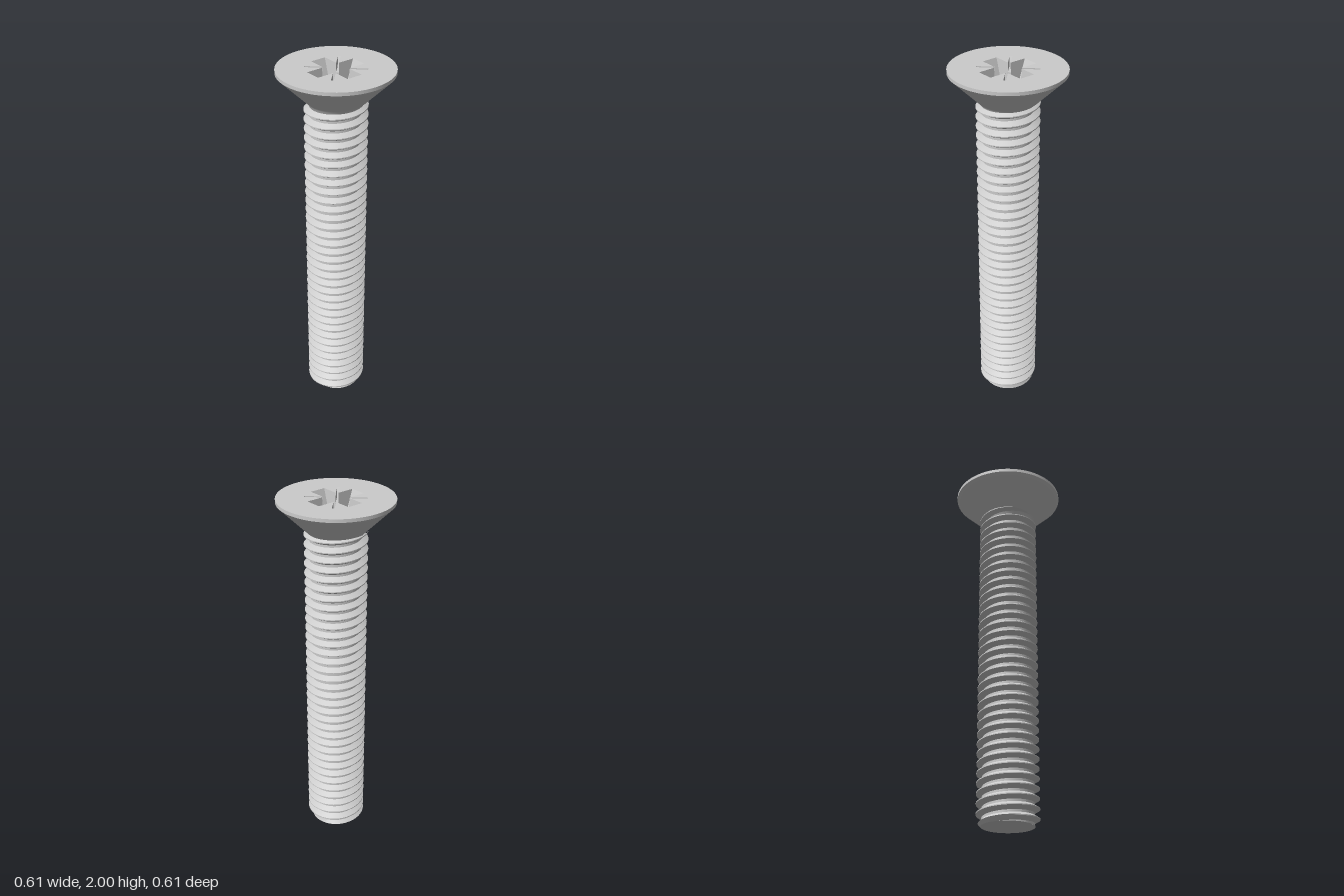
import * as THREE from 'three';
import { toCreasedNormals } from 'three/addons/utils/BufferGeometryUtils.js';

const TAU = Math.PI * 2;
const TOP = 2, FLOOR = 1.85, SHANK_TOP = 1.835;
const grey = new THREE.MeshStandardMaterial({ color: 0xcccccc });
const greyDouble = new THREE.MeshStandardMaterial({ color: 0xcccccc, side: THREE.DoubleSide });

function add(group, name, geometry, material = grey) {
  const mesh = new THREE.Mesh(geometry, material);
  mesh.name = name;
  group.add(mesh);
}

// Quarter-turn copy of a plan point
function turn([x, y], k) {
  for (let i = 0; i < k; i++) [x, y] = [-y, x];
  return [x, y];
}

// Point at a distance along the diagonal, offset sideways
function diagonal(s, w) {
  return [(s - w) * Math.SQRT1_2, (s + w) * Math.SQRT1_2];
}

// Thread: trapezoid profile carried round a helix, clipped at both ends
const PITCH = 0.0533, MINOR = 0.137, MAJOR = 0.166, PHASE = 0.78;
const CREST = 0.05, ROOT = 0.38; // half-widths as fractions of the pitch

function threadRadius(a, y) {
  const u = y / PITCH - a / TAU - PHASE;
  const d = Math.abs(u - Math.round(u));
  const t = THREE.MathUtils.clamp((ROOT - d) / (ROOT - CREST), 0, 1);
  return Math.min(MINOR + (MAJOR - MINOR) * t, 0.141 + y);
}

function threadGeometry(segments = 80) {
  const rows = [];
  for (let k = -3; k < SHANK_TOP / PITCH + 2; k++) {
    for (const f of [-ROOT, -CREST, CREST, ROOT]) rows.push(k + f + PHASE);
  }
  const pos = [], index = [], n = segments + 1;
  rows.forEach((v, j) => {
    for (let i = 0; i < n; i++) {
      const a = (i / segments) * TAU;
      const y = THREE.MathUtils.clamp((v + a / TAU) * PITCH, 0, SHANK_TOP);
      const r = threadRadius(a, y);
      pos.push(r * Math.sin(a), y, r * Math.cos(a));
      if (j === 0 || i === 0) continue;
      const d = j * n + i, c = d - 1, b = d - n, e = b - 1;
      const ys = [b, c, d, e].map((q) => pos[q * 3 + 1]);
      if (Math.max(...ys) - Math.min(...ys) > 1e-6) index.push(e, b, d, e, d, c);
    }
  });
  const g = new THREE.BufferGeometry();
  g.setAttribute('position', new THREE.Float32BufferAttribute(pos, 3));
  g.setIndex(index);
  return toCreasedNormals(g, 0.6);
}

// Flat end of the shank, following the thread outline
function tipGeometry(segments = 80) {
  const pts = [];
  for (let i = 0; i < segments; i++) {
    const a = (i / segments) * TAU, r = threadRadius(a, 0);
    pts.push(new THREE.Vector2(r * Math.sin(a), r * Math.cos(a)));
  }
  return new THREE.ShapeGeometry(new THREE.Shape(pts)).rotateX(Math.PI / 2);
}

// Plan of one quarter of the recess: arm end, inner corner, diagonal slit
const ARM = [[0.146, -0.044], [0.146, 0.044]];
const ARM_LOW = [[0.088, -0.035], [0.088, 0.035]];
const CORNER = [0.0535, 0.044], CORNER_LOW = [0.0487, 0.035];
const SLIT = [diagonal(0.16, -0.007), diagonal(0.16, 0.007)];
const SLIT_LOW = [diagonal(0.14, -0.007), diagonal(0.14, 0.007)];
const SLIT_DEPTH = 1 / 3; // fraction of the recess depth
const swap = ([x, y]) => [y, x];
const flip = ([x, y]) => [x, -y];

function headTopGeometry() {
  const shape = new THREE.Shape().absarc(0, 0, 0.305, 0, TAU);
  const outline = [];
  for (let k = 0; k < 4; k++) {
    for (const p of [...ARM, CORNER, ...SLIT, swap(CORNER)]) {
      outline.push(new THREE.Vector2(...turn(p, k)));
    }
  }
  shape.holes.push(new THREE.Path(outline));
  return new THREE.ShapeGeometry(shape, 48).rotateX(-Math.PI / 2).translate(0, TOP, 0);
}

function recessWallGeometry() {
  const pos = [];
  const slitY = TOP - (TOP - FLOOR) * SLIT_DEPTH;
  const mid = CORNER.map((v, i) => v + (CORNER_LOW[i] - v) * SLIT_DEPTH);
  for (let k = 0; k < 4; k++) {
    const at = (p, h) => {
      const [x, y] = turn(p, k);
      return [x, h, -y];
    };
    const quad = (a, b, c, d) => pos.push(...a, ...b, ...c, ...a, ...c, ...d);
    // Wall strip between an upper and a lower outline
    const walls = (high, low, y1, y0) => {
      for (let i = 1; i < high.length; i++) {
        quad(at(high[i - 1], y1), at(high[i], y1), at(low[i], y0), at(low[i - 1], y0));
      }
    };
    walls([flip(CORNER), ...ARM, CORNER], [flip(CORNER_LOW), ...ARM_LOW, CORNER_LOW], TOP, FLOOR);
    walls([CORNER, ...SLIT, swap(CORNER)], [mid, ...SLIT_LOW, swap(mid)], TOP, slitY);
    walls([mid, swap(mid)], [CORNER_LOW, swap(CORNER_LOW)], slitY, FLOOR);
    quad(...[mid, ...SLIT_LOW, swap(mid)].map((p) => at(p, slitY)));
  }
  const g = new THREE.BufferGeometry();
  g.setAttribute('position', new THREE.Float32BufferAttribute(pos, 3));
  g.computeVertexNormals();
  return g;
}

// Floor of one arm, cut on its inner side by the round centre hole
function armFloorGeometry(k) {
  const a = Math.atan2(CORNER_LOW[1], CORNER_LOW[0]);
  const shape = new THREE.Shape();
  shape.moveTo(...flip(CORNER_LOW));
  ARM_LOW.forEach((p) => shape.lineTo(...p));
  shape.lineTo(...CORNER_LOW);
  shape.absarc(0, 0, 0.06, a, -a, true);
  return new THREE.ShapeGeometry(shape, 10)
    .rotateX(-Math.PI / 2).rotateY((k * Math.PI) / 2).translate(0, FLOOR, 0);
}

function lathe(points, segments = 96) {
  const g = new THREE.LatheGeometry(points.map((p) => new THREE.Vector2(...p)), segments);
  return toCreasedNormals(g, 0.5);
}

export function createModel() {
  const model = new THREE.Group();
  model.name = 'countersunkScrew';

  // Threaded shank
  const shank = new THREE.Group();
  shank.name = 'shank';
  add(shank, 'thread', threadGeometry());
  add(shank, 'shankEnd', tipGeometry());

  // Countersunk head with a short neck
  const head = new THREE.Group();
  head.name = 'head';
  add(head, 'headCone', lathe([
    [0.137, 1.805], [0.145, 1.822], [0.152, 1.832], [0.164, 1.842], [0.305, 1.982], [0.305, TOP],
  ]));
  add(head, 'headTop', headTopGeometry());

  // Cross recess with diagonal slits
  const recess = new THREE.Group();
  recess.name = 'driveRecess';
  add(recess, 'recessWalls', recessWallGeometry(), greyDouble);
  for (let k = 0; k < 4; k++) add(recess, 'recessArmFloor', armFloorGeometry(k));
  add(recess, 'recessCentre', lathe([[0.06, FLOOR], [0, FLOOR - 0.03]], 48));
  head.add(recess);

  model.add(shank, head);
  return model;
}
